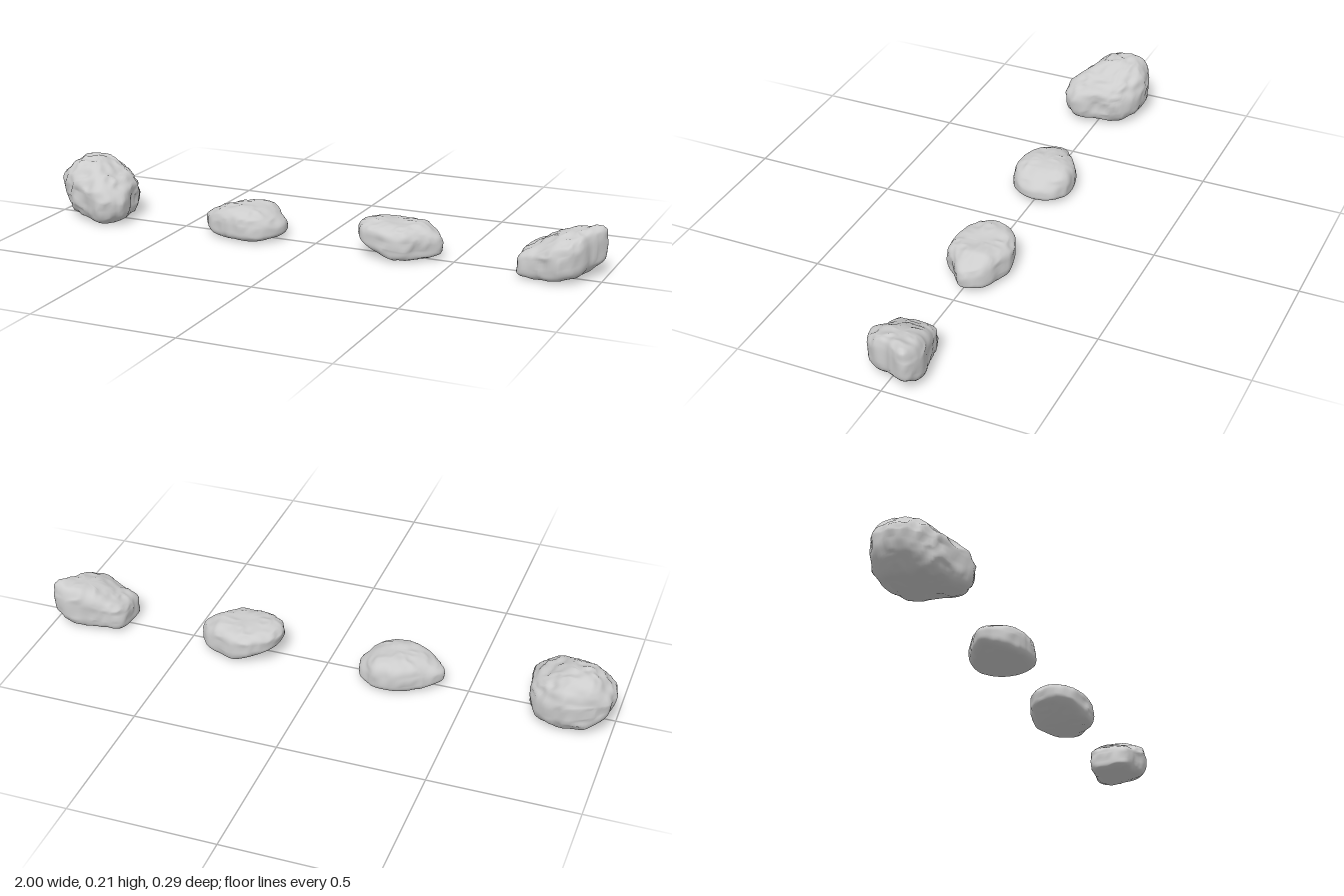
import * as THREE from 'three';

const stone = new THREE.MeshStandardMaterial({ color: 0xcccccc });
stone.name = 'pale grey stone';

// radii: plan radius every 30 degrees from +x towards +z
// tops, bottoms: heights at even steps from left to right; waist: height of the rim at both ends
// crest, base: x and z offsets of the summit and of the underside's middle
// slope: fall of the top towards the front; square: how boxy the upper half is
const ROCKS = [
  {
    name: 'largeBoulder', x: -0.85, seed: 3, rough: 0.016, waist: [0.12, 0.075], crest: [-0.03, -0.05], base: [0.03, 0.01],
    radii: [0.136, 0.165, 0.16, 0.106, 0.106, 0.117, 0.142, 0.168, 0.154, 0.141, 0.139, 0.14],
    tops: [0.16, 0.203, 0.2, 0.19, 0.165], bottoms: [0.065, 0.012, 0, 0, 0.005], slope: 0.25, square: 2.6,
  },
  {
    name: 'flatRock', x: -0.26, seed: 11, rough: 0.009, waist: [0.05, 0.04], crest: [0.02, 0], base: [0, 0.01],
    radii: [0.139, 0.129, 0.118, 0.105, 0.105, 0.128, 0.152, 0.114, 0.098, 0.103, 0.123, 0.138],
    tops: [0.085, 0.107, 0.116, 0.11, 0.075], bottoms: [0.01, 0, 0, 0, 0.01], slope: 0, square: 3,
  },
  {
    name: 'notchedRock', x: 0.305, seed: 23, rough: 0.01, waist: [0.08, 0.045], crest: [0, -0.01], base: [0.03, 0],
    radii: [0.148, 0.106, 0.11, 0.102, 0.104, 0.129, 0.14, 0.137, 0.121, 0.115, 0.11, 0.139],
    tops: [0.122, 0.118, 0.114, 0.122, 0.095], bottoms: [0.045, 0.022, 0, 0, 0.005], slope: 0, square: 3.2,
  },
  {
    name: 'wedgeRock', x: 0.86, seed: 37, rough: 0.01, waist: [0.045, 0.095], crest: [0.03, -0.02], base: [-0.02, 0.01],
    radii: [0.1, 0.1, 0.105, 0.107, 0.102, 0.142, 0.127, 0.132, 0.097, 0.092, 0.122, 0.158],
    tops: [0.105, 0.115, 0.147, 0.16, 0.188], bottoms: [0, 0, 0, 0.01, 0.035], slope: 0.15, square: 3.6,
  },
];

// Linear lookup in a list of evenly spaced heights, t from 0 to 1
function lookup(list, t) {
  const u = THREE.MathUtils.clamp(t, 0, 1) * (list.length - 1);
  const i = Math.min(Math.floor(u), list.length - 2);
  return THREE.MathUtils.lerp(list[i], list[i + 1], u - i);
}

// Smooth seeded lattice noise, -1 to 1
function hash(x, y, z, seed) {
  const s = Math.sin(x * 127.1 + y * 311.7 + z * 74.7 + seed * 19.3) * 43758.5453;
  return (s - Math.floor(s)) * 2 - 1;
}
function noise(x, y, z, seed) {
  const c = [x, y, z].map(Math.floor);
  const f = [x, y, z].map((v, i) => THREE.MathUtils.smoothstep(v - c[i], 0, 1));
  let sum = 0;
  for (let k = 0; k < 8; k++) {
    const o = [k & 1, (k >> 1) & 1, k >> 2];
    const w = o.reduce((p, b, i) => p * (b ? f[i] : 1 - f[i]), 1);
    sum += w * hash(c[0] + o[0], c[1] + o[1], c[2] + o[2], seed);
  }
  return sum;
}

function makeRock({ name, x: midX, seed, rough, waist, crest, base, radii, tops, bottoms, slope, square }) {
  const N = 80, M = 48;

  // Smooth plan outline
  const corners = radii.map((r, i) => {
    const a = (i / radii.length) * Math.PI * 2;
    return new THREE.Vector3(midX + r * Math.cos(a), 0, r * Math.sin(a));
  });
  const rim = new THREE.CatmullRomCurve3(corners, true, 'centripetal').getSpacedPoints(N).slice(0, N);
  const xs = rim.map((p) => p.x);
  const left = Math.min(...xs), width = Math.max(...xs) - left;
  const centre = new THREE.Vector3(midX, tops[2] / 2, 0);
  const positions = [], index = [];

  // One surface point; phi runs from the underside to the crest
  const addPoint = (edge, phi) => {
    const under = phi < 0;
    const power = 2 / (under ? 4 : square);
    const s = Math.pow(Math.max(0, Math.cos(phi)), power);
    const g = Math.pow(Math.abs(Math.sin(phi)), power);
    const [dx, dz] = under ? base : crest;
    const x = THREE.MathUtils.lerp(midX + dx, edge.x, s), z = THREE.MathUtils.lerp(dz, edge.z, s);
    const mid = lookup(waist, (edge.x - left) / width);
    const t = (x - left) / width;
    const end = under ? lookup(bottoms, t) : lookup(tops, t) - slope * Math.max(0, z);
    const p = new THREE.Vector3(x, THREE.MathUtils.lerp(mid, end, g), z);
    const out = p.clone().sub(centre);
    out.y *= 2;
    out.normalize();
    // Broad lumps with finer creased chips, calmer underneath
    const lumps = noise(x * 14, p.y * 14, z * 14, seed);
    const chips = 0.3 - Math.abs(noise(x * 30, p.y * 30, z * 30, seed + 5));
    p.addScaledVector(out, rough * (0.65 * lumps + 0.8 * chips) * (under ? 1 - 0.5 * g : 1));
    positions.push(p.x, Math.max(0, p.y), p.z);
  };

  // Rings from bottom to top, closed by a point at each end
  for (let j = 1; j < M; j++) for (const edge of rim) addPoint(edge, (j / M - 0.5) * Math.PI);
  addPoint(rim[0], -Math.PI / 2);
  addPoint(rim[0], Math.PI / 2);
  const bottom = N * (M - 1), top = bottom + 1, last = N * (M - 2);
  for (let i = 0; i < N; i++) {
    const n = (i + 1) % N;
    for (let j = 0; j < M - 2; j++) {
      const a = j * N + i, b = j * N + n;
      index.push(a, a + N, b, b, a + N, b + N);
    }
    index.push(bottom, i, n, top, last + n, last + i);
  }

  const geometry = new THREE.BufferGeometry();
  geometry.setAttribute('position', new THREE.Float32BufferAttribute(positions, 3));
  geometry.setIndex(index);
  geometry.computeVertexNormals();
  const mesh = new THREE.Mesh(geometry, stone);
  mesh.name = name;
  return mesh;
}

export function createModel() {
  const group = new THREE.Group();
  group.name = 'rockSet';
  for (const rock of ROCKS) group.add(makeRock(rock));
  return group;
}
